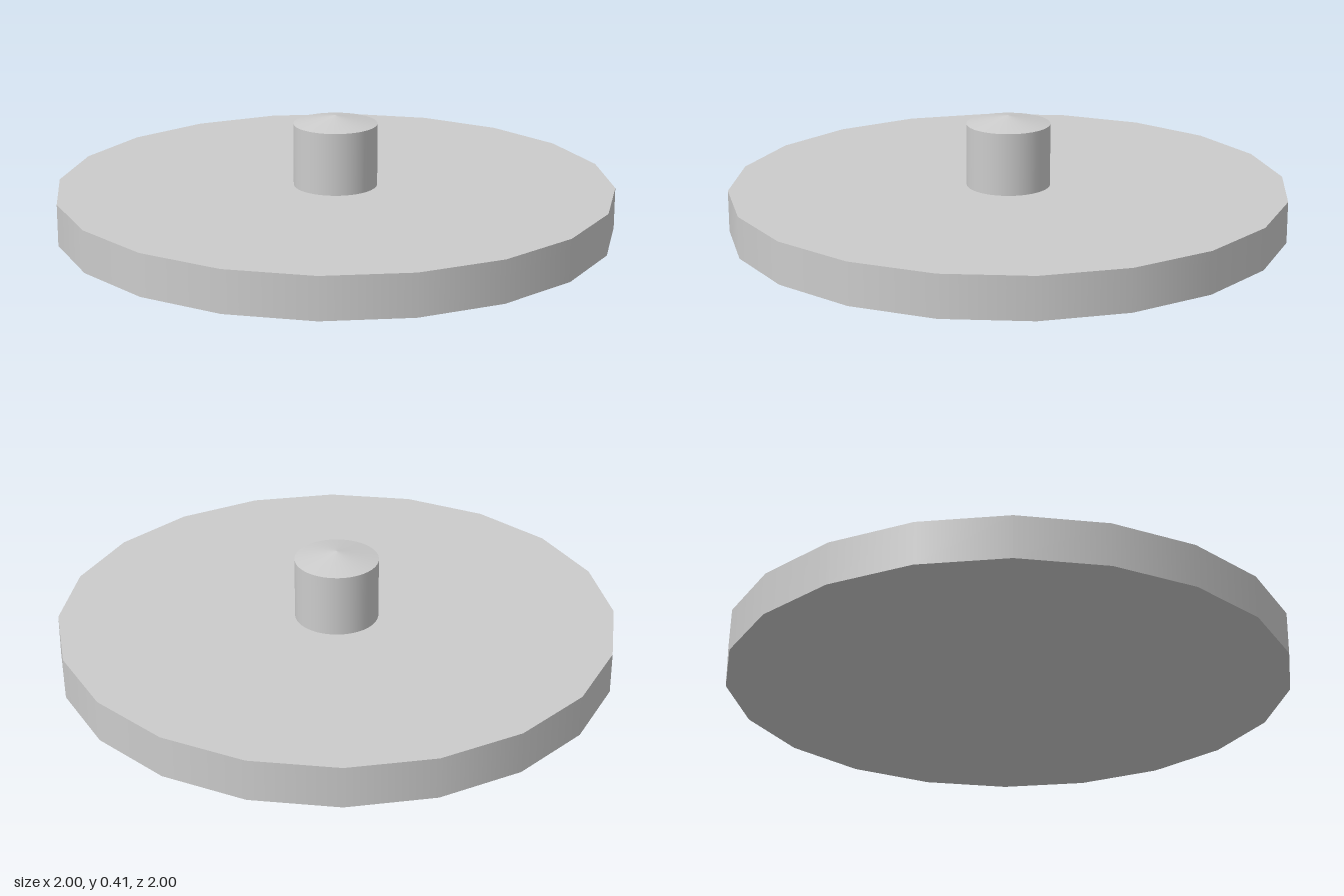
import * as THREE from 'three';

const DISC_HEIGHT = 0.15;
const STEM_TOP = 0.375;
const TIP_TOP = 0.405;
const KNOB_RADIUS = 0.15;

export function createModel() {
  const model = new THREE.Group();
  model.name = 'knobbedDisc';
  const material = new THREE.MeshStandardMaterial({ color: 0xcccccc });

  // Adds a part spanning the heights bottom to top
  function addPart(name, geometry, bottom, top) {
    const mesh = new THREE.Mesh(geometry, material);
    mesh.name = name;
    mesh.position.y = (bottom + top) / 2;
    model.add(mesh);
  }

  // Twenty-sided disc
  addPart('disc', new THREE.CylinderGeometry(1, 1, DISC_HEIGHT, 20), 0, DISC_HEIGHT);

  // Round knob: an open stem closed by a shallow cone
  const stemHeight = STEM_TOP - DISC_HEIGHT;
  addPart('knobStem', new THREE.CylinderGeometry(KNOB_RADIUS, KNOB_RADIUS, stemHeight, 48, 1, true), DISC_HEIGHT, STEM_TOP);
  addPart('knobTip', new THREE.ConeGeometry(KNOB_RADIUS, TIP_TOP - STEM_TOP, 48, 1, true), STEM_TOP, TIP_TOP);

  return model;
}
